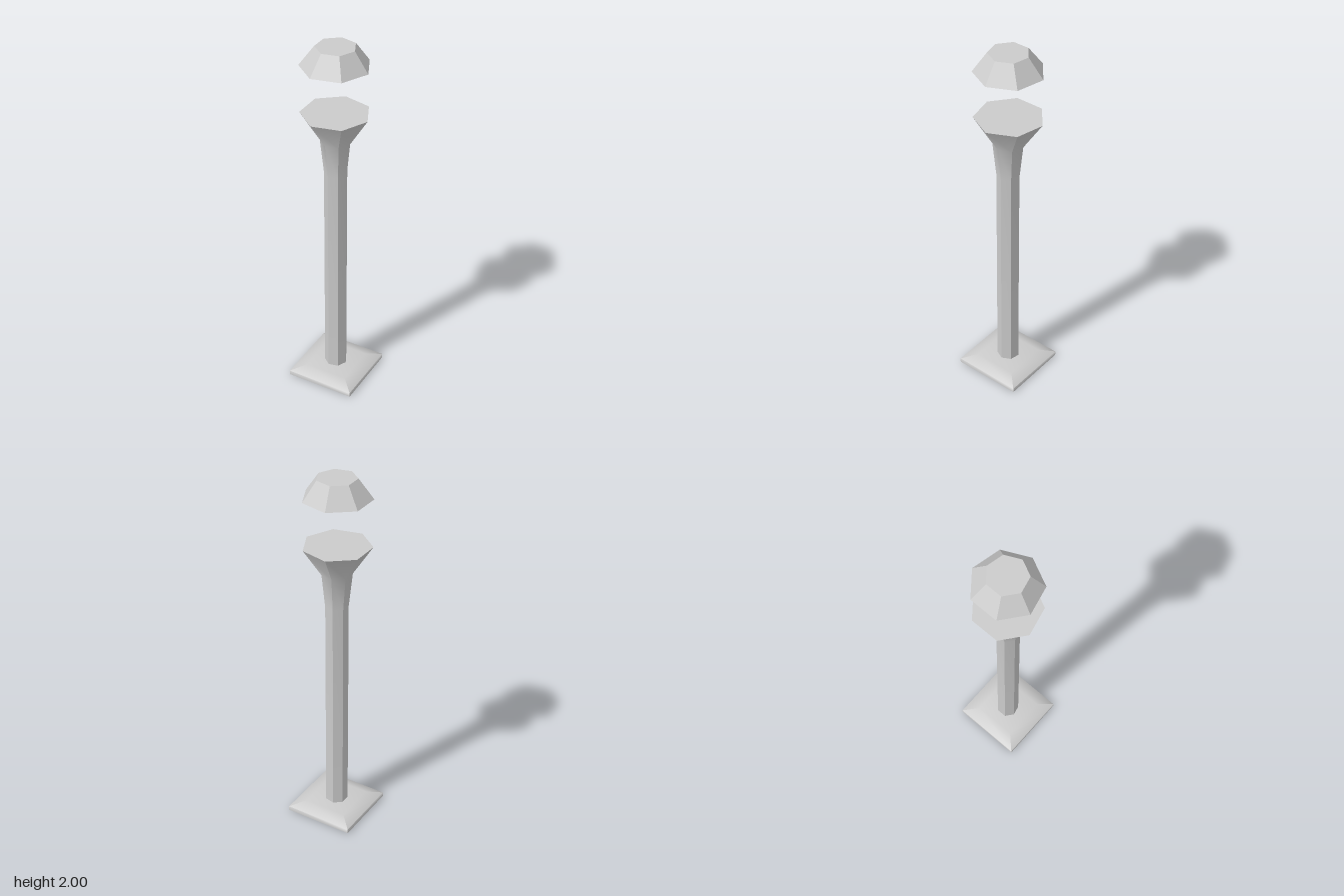
import * as THREE from 'three';
import { toCreasedNormals } from 'three/addons/utils/BufferGeometryUtils.js';

const material = new THREE.MeshStandardMaterial({ color: 0xcccccc });

// Closed faceted solid from [radius, height] rings, bottom to top.
// shiftX and shiftZ move each ring sideways in proportion to its radius.
function facetedSolid(name, rings, sides, startAngle, creaseDegrees, shiftX = 0, shiftZ = 0) {
  const first = rings[0];
  const last = rings[rings.length - 1];
  const profile = [[0, first[1]], ...rings, [0, last[1]]].map(([r, y]) => new THREE.Vector2(r, y));
  const geometry = new THREE.LatheGeometry(profile, sides, startAngle);
  const p = geometry.attributes.position;
  for (let i = 0; i < p.count; i++) {
    const r = Math.hypot(p.getX(i), p.getZ(i));
    p.setX(i, p.getX(i) + shiftX * r);
    p.setZ(i, p.getZ(i) + shiftZ * r);
  }
  const mesh = new THREE.Mesh(toCreasedNormals(geometry, THREE.MathUtils.degToRad(creaseDegrees)), material);
  mesh.name = name;
  return mesh;
}

export function createModel() {
  const model = new THREE.Group();
  model.name = 'lampPost';

  // Square foot plate with sloped shoulders
  const corner = Math.SQRT2;
  model.add(facetedSolid('basePlate',
    [[0.192 * corner, 0], [0.192 * corner, 0.025], [0.12 * corner, 0.05]],
    4, Math.PI / 4, 75));

  // Seven-sided post flaring out at its head
  model.add(facetedSolid('post',
    [[0.062, 0.04], [0.062, 1.29], [0.0815, 1.48], [0.181, 1.635]],
    7, Math.PI / 2, 35, -0.035, -0.008));

  // Separate cap floating above the post
  model.add(facetedSolid('cap',
    [[0.181, 1.895], [0.105, 2]],
    7, Math.PI / 2, 35, -0.035, -0.008));

  return model;
}
